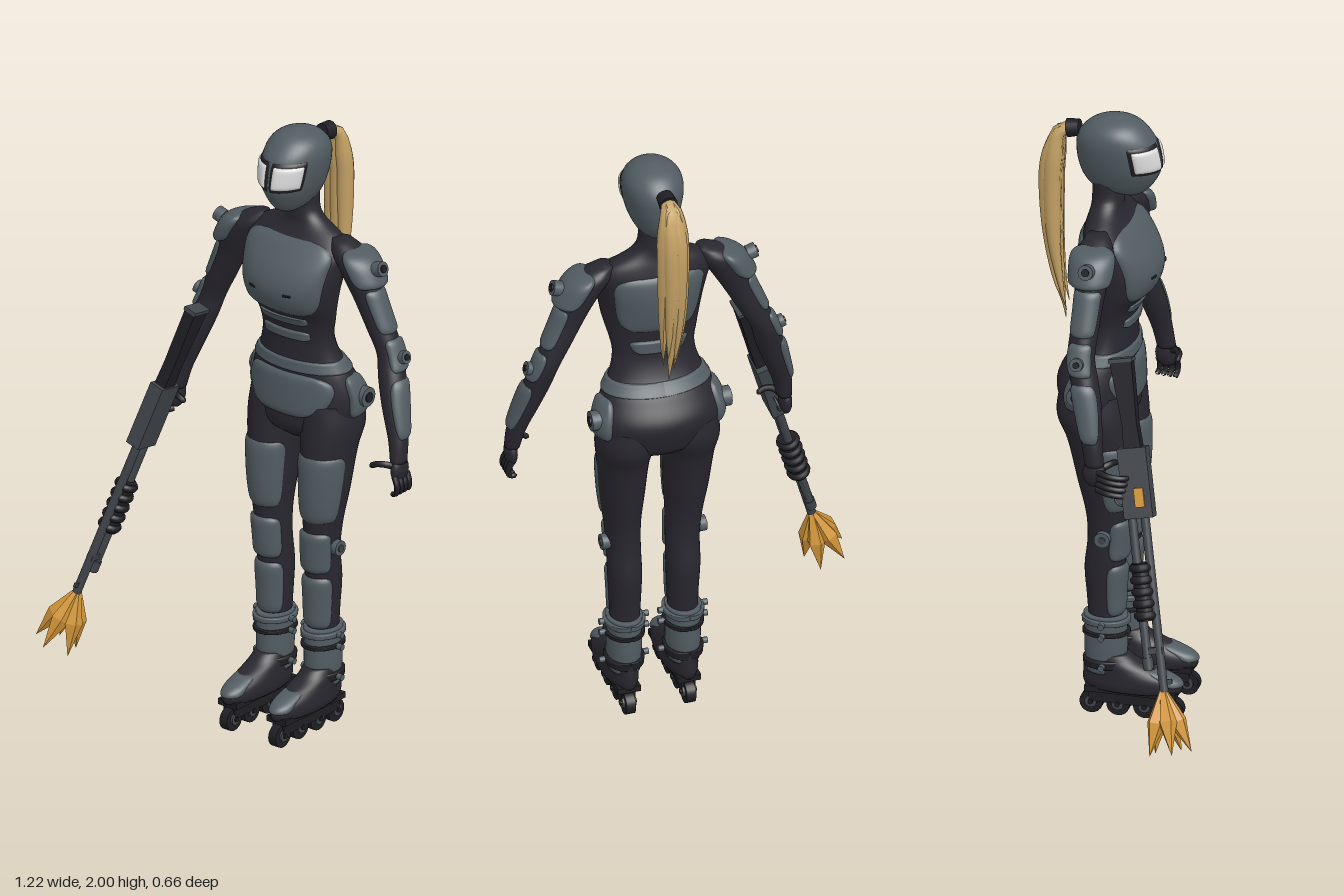
import * as THREE from 'three';

const mat = (name, color, extra = {}) => {
  const m = new THREE.MeshStandardMaterial({ color, ...extra });
  m.name = name;
  return m;
};

// Smooth interpolation through rows [y, cx, rx, zFront, zBack]
function sample(rows, y) {
  let i = 0;
  while (i < rows.length - 2 && y > rows[i + 1][0]) i++;
  const a = rows[i], b = rows[i + 1], h = b[0] - a[0], t = (y - a[0]) / h;
  const p = rows[i - 1] || a, n = rows[i + 2] || b;
  return a.map((v, k) => {
    const m0 = (b[k] - p[k]) / (b[0] - p[0]) * h, m1 = (n[k] - v) / (n[0] - a[0]) * h;
    const t2 = t * t, t3 = t2 * t;
    return (2 * t3 - 3 * t2 + 1) * v + (t3 - 2 * t2 + t) * m0 + (3 * t2 - 2 * t3) * b[k] + (t3 - t2) * m1;
  });
}

// Point on a lofted body: angle 0 faces +z, PI/2 faces +x
function surface(rows, y, a, off = 0, shrink = 1) {
  const [, cx, rx, zf, zb] = sample(rows, y);
  const rz = (zf - zb) / 2, s = Math.sin(a), c = Math.cos(a);
  const nx = s / Math.max(rx, 0.01), nz = c / Math.max(rz, 0.01), l = Math.hypot(nx, nz);
  return [cx + shrink * (rx * s + off * nx / l), y, (zf + zb) / 2 + shrink * (rz * c + off * nz / l)];
}

function gridGeometry(nu, nv, wrap, point) {
  const pos = [], idx = [], cols = wrap ? nu : nu + 1;
  for (let i = 0; i <= nv; i++) for (let j = 0; j < cols; j++) pos.push(...point(j, i));
  for (let i = 0; i < nv; i++) for (let j = 0; j < nu; j++) {
    const a = i * cols + j, b = i * cols + (j + 1) % cols;
    idx.push(a, b, b + cols, a, b + cols, a + cols);
  }
  const g = new THREE.BufferGeometry();
  g.setAttribute('position', new THREE.Float32BufferAttribute(pos, 3));
  g.setIndex(idx);
  g.computeVertexNormals();
  return g;
}

// Closed body of horizontal elliptic sections
function loft(rows, nv = 48, nu = 36) {
  const y0 = rows[0][0], y1 = rows[rows.length - 1][0];
  return gridGeometry(nu, nv + 2, true, (j, i) => {
    const k = Math.min(Math.max(i - 1, 0), nv);
    return surface(rows, y0 + (y1 - y0) * k / nv, j / nu * Math.PI * 2, 0, i === 0 || i === nv + 2 ? 0 : 1);
  });
}

// Domed plate following a lofted body; round = corner power (0 keeps it square)
function plate(rows, y0, y1, ac, aw, off = 0.012, round = 5, taper = 0) {
  const n = 20, e = (k) => Math.sin((k / n * 2 - 1) * Math.PI / 2);
  return gridGeometry(n * 2, n, false, (j, i) => {
    const u = e(j / 2), v = e(i);
    let w = round ? Math.pow(Math.max(0, 1 - Math.abs(v) ** round), 1 / round) : 1;
    w *= 1 - taper * (1 - v) / 2;
    const lift = 1 - Math.max(Math.abs(u), Math.abs(v)) ** 10;
    return surface(rows, (y0 + y1) / 2 + v * (y1 - y0) / 2, ac + aw * u * w, off * lift - 0.002);
  });
}

// Tube whose radius changes along its length
function taperTube(points, radius, seg = 24, sides = 10) {
  const curve = new THREE.CatmullRomCurve3(points.map((p) => new THREE.Vector3(...p)));
  const g = new THREE.TubeGeometry(curve, seg, 1, sides), p = g.attributes.position, v = new THREE.Vector3();
  for (let i = 0; i < p.count; i++) {
    const t = Math.floor(i / (sides + 1)) / seg, c = curve.getPointAt(t);
    v.fromBufferAttribute(p, i).sub(c).multiplyScalar(radius(t)).add(c);
    p.setXYZ(i, v.x, v.y, v.z);
  }
  g.computeVertexNormals();
  return g;
}

export function createModel() {
  const suit = mat('suit', 0x29272f), armor = mat('armor', 0x515c62), metal = mat('gunmetal', 0x41464c);
  const rubber = mat('rubber', 0x1f1e23), lens = mat('lens', 0xdadada), hair = mat('hair', 0xc4a164);
  const gold = mat('gold', 0xd4973a, { flatShading: true });
  const root = new THREE.Group(), body = new THREE.Group();
  root.name = 'armedSkater';
  body.name = 'body';
  body.position.x = 0.128;
  root.add(body);
  const add = (parent, name, geo, m, x = 0, y = 0, z = 0) => {
    const mesh = new THREE.Mesh(geo, m);
    mesh.name = name;
    mesh.position.set(x, y, z);
    parent.add(mesh);
    return mesh;
  };
  // Round fitting with its axis along x
  const disc = (parent, name, r, w, x, y, z, m = armor, tilt = 0) => {
    add(parent, name, new THREE.CylinderGeometry(r, r, w, 20), m, x, y, z).rotation.z = -Math.PI / 2 + tilt;
  };

  // Torso, neck and torso armour
  const torso = [[0.96, 0, 0.04, -0.05, -0.14], [1.0, 0, 0.15, 0, -0.205], [1.06, 0, 0.195, 0.01, -0.235],
    [1.12, 0, 0.202, 0.01, -0.243], [1.19, 0, 0.18, 0.005, -0.205], [1.25, 0, 0.148, 0, -0.165],
    [1.32, 0, 0.132, 0, -0.14], [1.38, 0, 0.142, 0.015, -0.14], [1.44, 0, 0.157, 0.055, -0.148],
    [1.5, 0, 0.168, 0.07, -0.16], [1.56, 0, 0.178, 0.052, -0.167], [1.62, 0, 0.187, 0.008, -0.16],
    [1.66, 0, 0.155, -0.025, -0.15], [1.69, 0, 0.095, -0.04, -0.142], [1.72, 0, 0.06, -0.04, -0.14],
    [1.8, 0, 0.054, -0.045, -0.14]];
  add(body, 'torso', loft(torso, 80), suit);
  add(body, 'chestPlate', plate(torso, 1.41, 1.65, 0, 1.15, 0.014, 4), armor);
  add(body, 'upperAbPlate', plate(torso, 1.368, 1.398, 0, 0.72), armor);
  add(body, 'lowerAbPlate', plate(torso, 1.312, 1.345, 0, 0.76), armor);
  add(body, 'backPlate', plate(torso, 1.42, 1.63, Math.PI, 0.95, 0.012, 4), armor);
  add(body, 'lowerBackPlate', plate(torso, 1.335, 1.385, Math.PI, 0.8, 0.012, 4, 0.2), armor);
  add(body, 'belt', plate(torso, 1.205, 1.245, 0, 3.3, 0.01, 0), armor);
  add(body, 'pelvisPlate', plate(torso, 1.055, 1.2, 0, 1.2, 0.014, 3, 0.45), armor);
  for (const s of [-1, 1]) add(body, 'chestVent', plate(torso, 1.488, 1.496, s * 0.4, 0.1, 0.018), rubber);

  // Helmet and visor
  const head = [[1.742, 0, 0.028, 0.012, -0.06], [1.757, 0, 0.045, 0.035, -0.13], [1.79, 0, 0.064, 0.06, -0.165],
    [1.83, 0, 0.079, 0.078, -0.182], [1.88, 0, 0.09, 0.074, -0.19], [1.925, 0, 0.093, 0.06, -0.187],
    [1.96, 0, 0.083, 0.033, -0.165], [1.985, 0, 0.056, 0, -0.13], [2, 0, 0.012, -0.045, -0.075]];
  add(body, 'helmet', loft(head), armor);
  for (const s of [-1, 1]) {
    add(body, 'visorFrame', plate(head, 1.826, 1.924, s * 0.6, 0.58, 0.006, 12), rubber);
    add(body, 'visorLens', plate(head, 1.836, 1.914, s * 0.6, 0.49, 0.012, 12), lens);
  }

  // Ponytail made of a main lock and loose strands
  add(body, 'hairTie', new THREE.CylinderGeometry(0.026, 0.03, 0.04, 16), rubber, 0, 1.94, -0.2).rotation.x = 1.4;
  const lock = (dx, dz, len, r) => taperTube([[0, 1.94, -0.195], [dx * 0.6, 1.93, -0.24], [dx, 1.83, -0.266 + dz],
    [dx, 1.7, -0.27 + dz], [dx * 1.1, 1.55, -0.262 + dz], [dx, 1.42, -0.244 + dz], [dx * 0.7, 1.94 - len, -0.225 + dz]],
  (t) => r * (0.45 + 0.55 * Math.min(1, t * 5)) * (t < 0.4 ? 1 : Math.max(0.04, 1 - ((t - 0.4) / 0.6) ** 1.4)));
  [[0, 0, 0.65, 0.036], [0.024, 0.006, 0.6, 0.028], [-0.024, 0.006, 0.62, 0.028], [0.012, -0.012, 0.57, 0.026],
    [-0.014, -0.012, 0.59, 0.026]].forEach((p) => add(body, 'ponytailLock', lock(...p), hair));

  // Limbs: the model's left side, then mirrored
  const leg = [[0.3, 0.095, 0.046, -0.02, -0.125], [0.4, 0.094, 0.049, -0.018, -0.133], [0.5, 0.095, 0.053, -0.012, -0.14],
    [0.6, 0.096, 0.053, -0.004, -0.13], [0.69, 0.1, 0.058, 0.002, -0.135], [0.8, 0.104, 0.07, 0.012, -0.16],
    [0.94, 0.106, 0.081, 0.012, -0.193], [1.02, 0.105, 0.092, 0.006, -0.225], [1.1, 0.1, 0.085, 0, -0.22]];
  const boot = [[0.15, 0.096, 0.05, -0.01, -0.135], [0.22, 0.096, 0.054, -0.005, -0.14], [0.3, 0.096, 0.054, -0.005, -0.14],
    [0.345, 0.096, 0.056, -0.004, -0.143]];
  const shoe = [[0.095, 0.097, 0.052, 0.165, -0.138], [0.115, 0.097, 0.057, 0.172, -0.145], [0.14, 0.097, 0.056, 0.158, -0.145],
    [0.165, 0.097, 0.053, 0.1, -0.143], [0.19, 0.097, 0.052, 0.035, -0.14], [0.215, 0.097, 0.05, 0, -0.135]];
  const arm = [[1.01, 0.443, 0.024, 0.01, -0.05], [1.08, 0.432, 0.031, 0.002, -0.064], [1.18, 0.402, 0.04, -0.008, -0.092],
    [1.26, 0.377, 0.044, -0.025, -0.112], [1.33, 0.355, 0.042, -0.042, -0.128], [1.4, 0.322, 0.047, -0.04, -0.128],
    [1.5, 0.274, 0.054, -0.033, -0.127], [1.58, 0.234, 0.062, -0.022, -0.135], [1.63, 0.2, 0.062, -0.025, -0.135],
    [1.665, 0.165, 0.03, -0.05, -0.115]];
  for (const s of [1, -1]) {
    const g = new THREE.Group(), side = Math.PI / 2;
    g.name = s > 0 ? 'leftLimbs' : 'rightLimbs';
    g.scale.x = s;
    body.add(g);
    // Hip, thigh, knee and shin
    add(g, 'hipPad', plate(torso, 1.055, 1.195, side + 0.15, 0.42, 0.016, 4), armor);
    disc(g, 'hipDisc', 0.032, 0.03, 0.212, 1.125, -0.135);
    disc(g, 'hipStud', 0.016, 0.036, 0.214, 1.125, -0.135, rubber);
    add(g, 'leg', loft(leg, 60), suit);
    add(g, 'thighPlate', plate(leg, 0.71, 0.935, 0.15, 1.35, 0.01, 7), armor);
    add(g, 'kneePlate', plate(leg, 0.535, 0.675, 0.05, 1.25, 0.014, 5), armor);
    add(g, 'shinPlate', plate(leg, 0.345, 0.52, 0.05, 1.25, 0.013, 6), armor);
    disc(g, 'kneeDisc', 0.025, 0.03, 0.155, 0.62, -0.068);
    disc(g, 'kneeStud', 0.012, 0.036, 0.156, 0.62, -0.068, metal);
    // Boot with straps and buckles
    add(g, 'boot', loft(boot, 20), armor);
    [[0.315, armor, 0.335], [0.278, rubber, 0.292], [0.168, rubber, 0.198]].forEach(([y, m, top]) => {
      add(g, 'bootStrap', plate(boot, y, top, 0, 3.3, 0.012, 0), m);
      for (const x of [0.026, 0.166]) disc(g, 'buckle', 0.01, 0.02, x, (y + top) / 2, -0.07);
    });
    add(g, 'shoe', loft(shoe, 24), suit);
    add(g, 'toeCap', plate(shoe, 0.118, 0.17, 0, 0.8, 0.007, 4), armor);
    // Wheel frame and wheels
    add(g, 'solePlate', new THREE.BoxGeometry(0.075, 0.02, 0.29), rubber, 0.098, 0.093, 0.012);
    for (const x of [0.078, 0.118]) add(g, 'wheelFrame', new THREE.BoxGeometry(0.006, 0.045, 0.27), rubber, x, 0.067, 0.012);
    for (let i = 0; i < 4; i++) {
      const z = 0.14 - i * 0.0855;
      disc(g, 'wheel', 0.037, 0.03, 0.098, 0.039, z, rubber);
      disc(g, 'wheelHub', 0.019, 0.044, 0.098, 0.042, z, metal);
      disc(g, 'axle', 0.008, 0.054, 0.098, 0.042, z, rubber);
    }
    // Arm and arm armour
    add(g, 'arm', loft(arm, 60), suit);
    add(g, 'shoulderPad', plate(arm, 1.54, 1.65, side, 1.45, 0.026, 4), armor);
    disc(g, 'shoulderDisc', 0.024, 0.03, 0.318, 1.605, -0.078, armor, 0.3);
    disc(g, 'shoulderStud', 0.012, 0.036, 0.32, 1.606, -0.078, rubber, 0.3);
    add(g, 'upperArmPlate', plate(arm, 1.4, 1.535, side, 1.1, 0.01, 5), armor);
    add(g, 'elbowPlate', plate(arm, 1.285, 1.385, side, 1, 0.012, 4), armor);
    disc(g, 'elbowDisc', 0.021, 0.026, 0.408, 1.33, -0.085, armor, 0.3);
    disc(g, 'elbowStud', 0.01, 0.032, 0.41, 1.33, -0.085, rubber, 0.3);
    add(g, 'forearmPlate', plate(arm, 1.085, 1.265, side, 1.15, 0.011, 4, 0.15), armor);
    // Hands: left hangs open, right wraps around the gun
    add(g, 'palm', new THREE.SphereGeometry(1, 18, 14), suit, 0.447, 0.985, -0.02).scale.set(0.02, 0.045, 0.037);
    for (let i = 0; i < 4; i++) {
      const z = 0.008 - i * 0.019, y = 0.995 - i * 0.02;
      const path = s > 0
        ? [[0.45, 0.97, z], [0.463, 0.94, z + 0.003], [0.458, 0.917, z + 0.002], [0.437, 0.907 + i * 0.003, z]]
        : [[0.455, y, -0.01], [0.472, y - 0.005, 0.035], [0.465, y - 0.01, 0.075], [0.435, y - 0.015, 0.095]];
      add(g, 'finger', taperTube(path, (t) => t > 0.95 ? 0.003 : 0.0105 - 0.002 * t, 14, 8), rubber);
    }
    add(g, 'thumb', taperTube([[0.44, 1.0, 0], [0.42, 1.008, 0.022], [0.395, 1.005, 0.032], [0.372, 0.992, 0.03]],
      (t) => t > 0.95 ? 0.003 : 0.012 - 0.003 * t, 14, 8), rubber);
  }

  // Long gun: local z runs from butt to muzzle, y is its upper side
  const gun = new THREE.Group();
  gun.name = 'gun';
  const fwd = new THREE.Vector3(-0.305, -0.975, 0.195).normalize();
  const right = new THREE.Vector3().crossVectors(new THREE.Vector3(0, 0, 1), fwd).normalize();
  const up = new THREE.Vector3().crossVectors(fwd, right);
  gun.quaternion.setFromRotationMatrix(new THREE.Matrix4().makeBasis(right, up, fwd));
  gun.position.set(-0.193, 1.325, 0.04);
  root.add(gun);
  const rod = (name, r, z0, z1, y, m) => {
    add(gun, name, new THREE.CylinderGeometry(r, r, z1 - z0, 16), m, 0, y, (z0 + z1) / 2).rotation.x = Math.PI / 2;
  };
  const stock = new THREE.Shape([[0, -0.04], [0, 0.03], [0.2, 0.025], [0.28, 0.03], [0.28, -0.025], [0.2, -0.022]]
    .map(([a, b]) => new THREE.Vector2(a, b)));
  add(gun, 'stock', new THREE.ExtrudeGeometry(stock, { depth: 0.04, bevelEnabled: false }), rubber, 0.02, 0, 0)
    .rotation.y = -Math.PI / 2;
  add(gun, 'buttPlate', new THREE.BoxGeometry(0.046, 0.076, 0.012), metal, 0, -0.005, 0.002);
  add(gun, 'receiver', new THREE.BoxGeometry(0.05, 0.092, 0.22), metal, 0, 0, 0.385);
  add(gun, 'shellPort', new THREE.BoxGeometry(0.012, 0.03, 0.06), gold, -0.026, 0.01, 0.43);
  add(gun, 'triggerGuard', new THREE.TorusGeometry(0.024, 0.004, 8, 20), metal, 0, -0.05, 0.43).rotation.y = Math.PI / 2;
  rod('barrel', 0.014, 0.48, 1.04, 0.015, metal);
  rod('magazineTube', 0.014, 0.48, 0.97, -0.026, metal);
  rod('tubeCap', 0.017, 0.93, 0.965, -0.026, metal);
  add(gun, 'barrelClamp', new THREE.BoxGeometry(0.022, 0.06, 0.02), metal, 0, -0.005, 0.91);
  add(gun, 'frontSight', new THREE.BoxGeometry(0.008, 0.02, 0.016), metal, 0, 0.034, 1.01);
  rod('foregrip', 0.029, 0.635, 0.815, -0.016, rubber);
  for (let i = 0; i < 5; i++) add(gun, 'gripRib', new THREE.TorusGeometry(0.024, 0.014, 10, 20), rubber, 0, -0.016, 0.65 + i * 0.037);

  // Faceted muzzle burst
  const petal = new THREE.LatheGeometry([[0.0, 0], [0.01, 0.004], [0.03, 0.11], [0, 0.215]]
    .map(([a, b]) => new THREE.Vector2(a, b)), 5);
  for (let i = 0; i < 6; i++) {
    const a = i / 5 * Math.PI * 2 + 0.3, k = i < 5 ? 0.34 : 0;
    const m = add(gun, 'burstPetal', petal, gold, 0, 0.012, 1.03);
    m.quaternion.setFromUnitVectors(new THREE.Vector3(0, 1, 0),
      new THREE.Vector3(Math.cos(a) * k, Math.sin(a) * k, 1).normalize());
    m.scale.setScalar(i < 5 ? 1 : 0.8);
  }
  return root;
}
